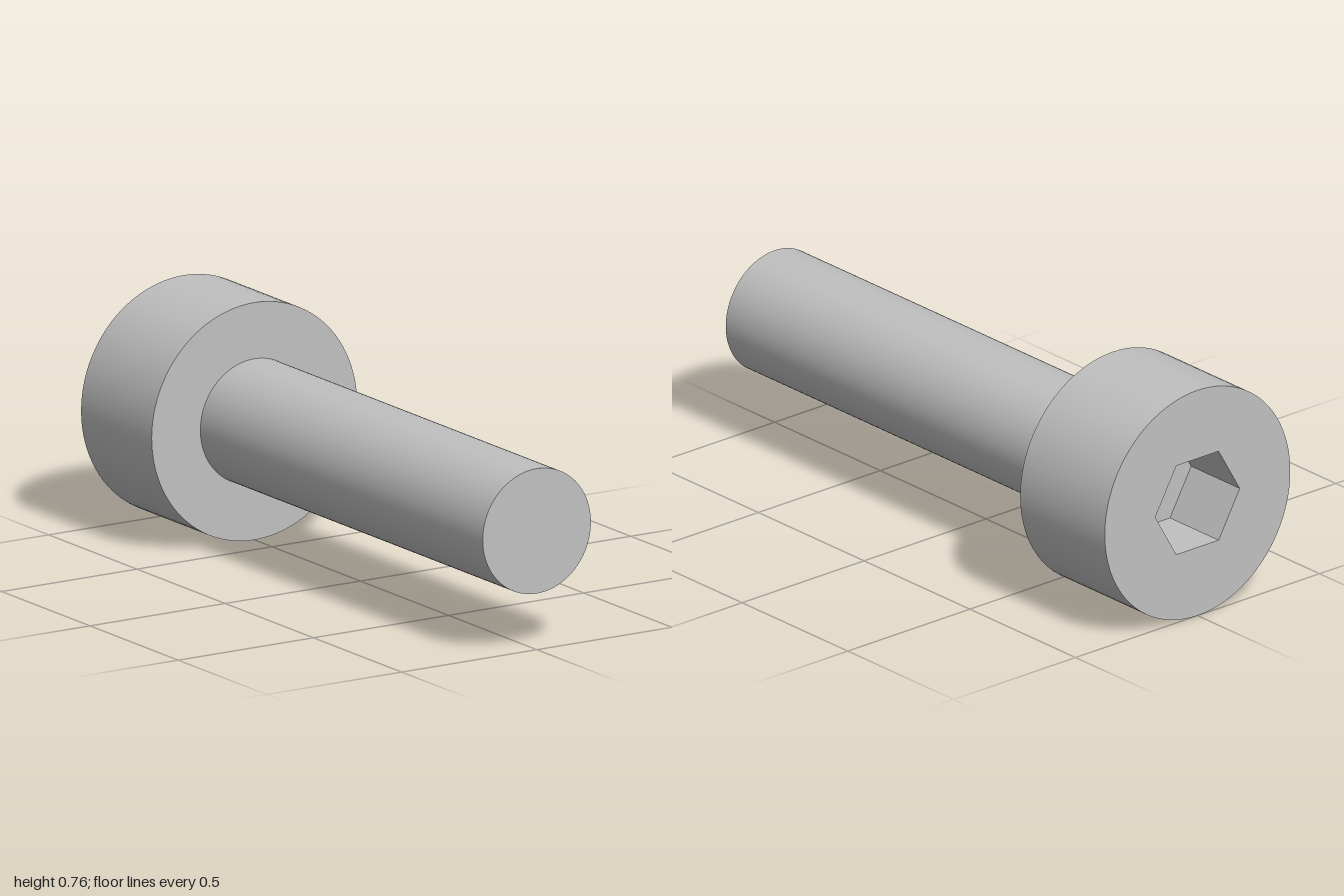
import * as THREE from 'three';

const SEG = 96;
const HEAD_R = 0.38, SHANK_R = 0.2;
const BACK = -1, SHOULDER = -0.6, TIP = 1;
const HEX_R = 0.15 / Math.cos(Math.PI / 6); // 0.3 across flats
const HEX_DEPTH = 0.23;

// Open cylinder wall running along z from z0 to z1
function tube(radius, z0, z1, sides = SEG, turn = 0) {
  return new THREE.CylinderGeometry(radius, radius, z1 - z0, sides, 1, true)
    .rotateY(turn)
    .rotateX(Math.PI / 2)
    .translate(0, 0, (z0 + z1) / 2);
}

export function createModel() {
  const steel = new THREE.MeshStandardMaterial({ color: 0xc0c0c0 });
  steel.name = 'steel';

  const model = new THREE.Group();
  model.name = 'socketHeadBolt';
  const add = (name, geometry) => {
    const mesh = new THREE.Mesh(geometry, steel);
    mesh.name = name;
    model.add(mesh);
  };

  // Plain shank with a flat tip
  add('shank', tube(SHANK_R, SHOULDER, TIP));
  add('shankTip', new THREE.CircleGeometry(SHANK_R, SEG).translate(0, 0, TIP));

  // Cylindrical head and its bearing face
  add('headSide', tube(HEAD_R, BACK, SHOULDER));
  add('headShoulder', new THREE.RingGeometry(SHANK_R, HEAD_R, SEG).translate(0, 0, SHOULDER));

  // Back face of the head, pierced by the hexagon
  const face = new THREE.Shape().absarc(0, 0, HEAD_R, 0, Math.PI * 2);
  const hexagon = [];
  for (let i = 0; i < 6; i++) {
    const a = -i * Math.PI / 3;
    hexagon.push(new THREE.Vector2(HEX_R * Math.cos(a), HEX_R * Math.sin(a)));
  }
  face.holes.push(new THREE.Path(hexagon));
  add('headFace', new THREE.ShapeGeometry(face, SEG).rotateY(Math.PI).translate(0, 0, BACK));

  // Hexagonal socket: mirrored walls face inward, with flat sides
  const walls = tube(HEX_R, BACK, BACK + HEX_DEPTH, 6, Math.PI / 6).toNonIndexed();
  const p = walls.attributes.position;
  for (let i = 0; i < p.count; i++) p.setX(i, -p.getX(i));
  walls.computeVertexNormals();
  add('socketWalls', walls);
  add('socketFloor', new THREE.CircleGeometry(HEX_R, 6)
    .rotateY(Math.PI).translate(0, 0, BACK + HEX_DEPTH));

  model.position.y = HEAD_R;
  return model;
}
